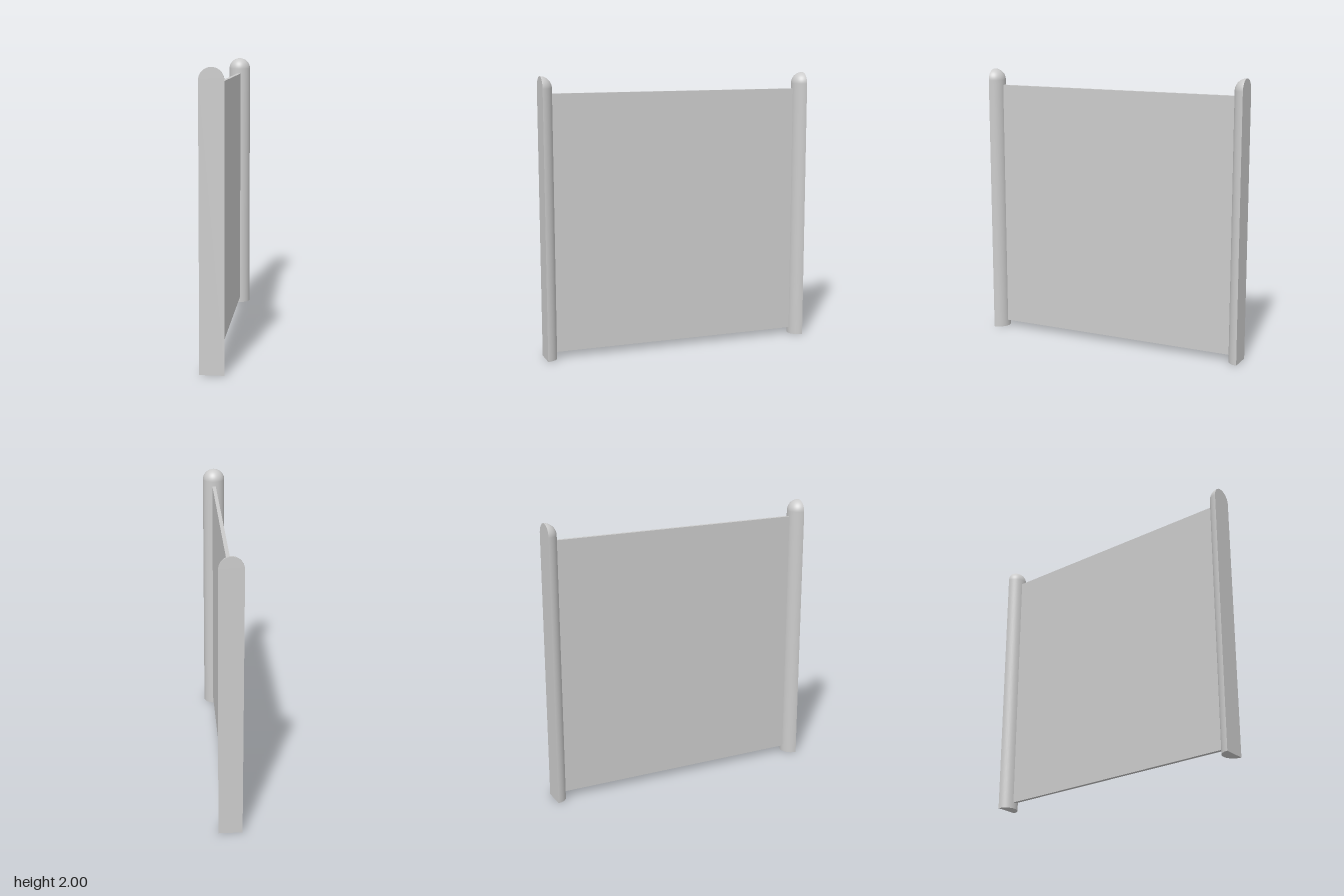
import * as THREE from 'three';

const R = 0.083; // post radius
const H = 2; // post height
const SHOULDER = H - R; // where the rounded top begins

const material = new THREE.MeshStandardMaterial({ color: 0xcccccc });

function addPart(parent, name, geometry) {
  const mesh = new THREE.Mesh(geometry, material);
  mesh.name = name;
  parent.add(mesh);
  return mesh;
}

// Half-round post: flat side faces +z, round side faces -z
function createPost(name) {
  const post = new THREE.Group();
  post.name = name;

  // Half cylinder shaft running smoothly into a quarter-sphere top
  const profile = [new THREE.Vector2(R, 0)];
  for (let i = 0; i <= 12; i++) {
    const a = (i / 12) * Math.PI / 2;
    profile.push(new THREE.Vector2(i === 12 ? 0 : R * Math.cos(a), SHOULDER + R * Math.sin(a)));
  }
  addPart(post, 'roundedSide', new THREE.LatheGeometry(profile, 24, Math.PI / 2, Math.PI));

  // Flat outer face with an arched top
  const face = new THREE.Shape();
  face.moveTo(-R, 0);
  face.lineTo(R, 0);
  face.lineTo(R, SHOULDER);
  face.absarc(0, SHOULDER, R, 0, Math.PI, false);
  face.lineTo(-R, 0);
  addPart(post, 'flatSide', new THREE.ShapeGeometry(face, 24));

  // Half-disc underside
  const foot = new THREE.CircleGeometry(R, 24, Math.PI, Math.PI);
  foot.rotateX(Math.PI / 2);
  addPart(post, 'foot', foot);
  return post;
}

export function createModel() {
  const model = new THREE.Group();
  model.name = 'panelBetweenPosts';

  // Mirrored pair of posts
  const frontPost = createPost('frontPost');
  frontPost.position.z = 1;
  const backPost = createPost('backPost');
  backPost.position.z = -1;
  backPost.rotation.y = Math.PI;
  model.add(frontPost, backPost);

  // Thin panel, its ends set into the posts
  const bottom = 0.045;
  const top = 1.88;
  const panel = addPart(model, 'panel', new THREE.BoxGeometry(0.026, top - bottom, 1.88));
  panel.position.y = (top + bottom) / 2;

  return model;
}
